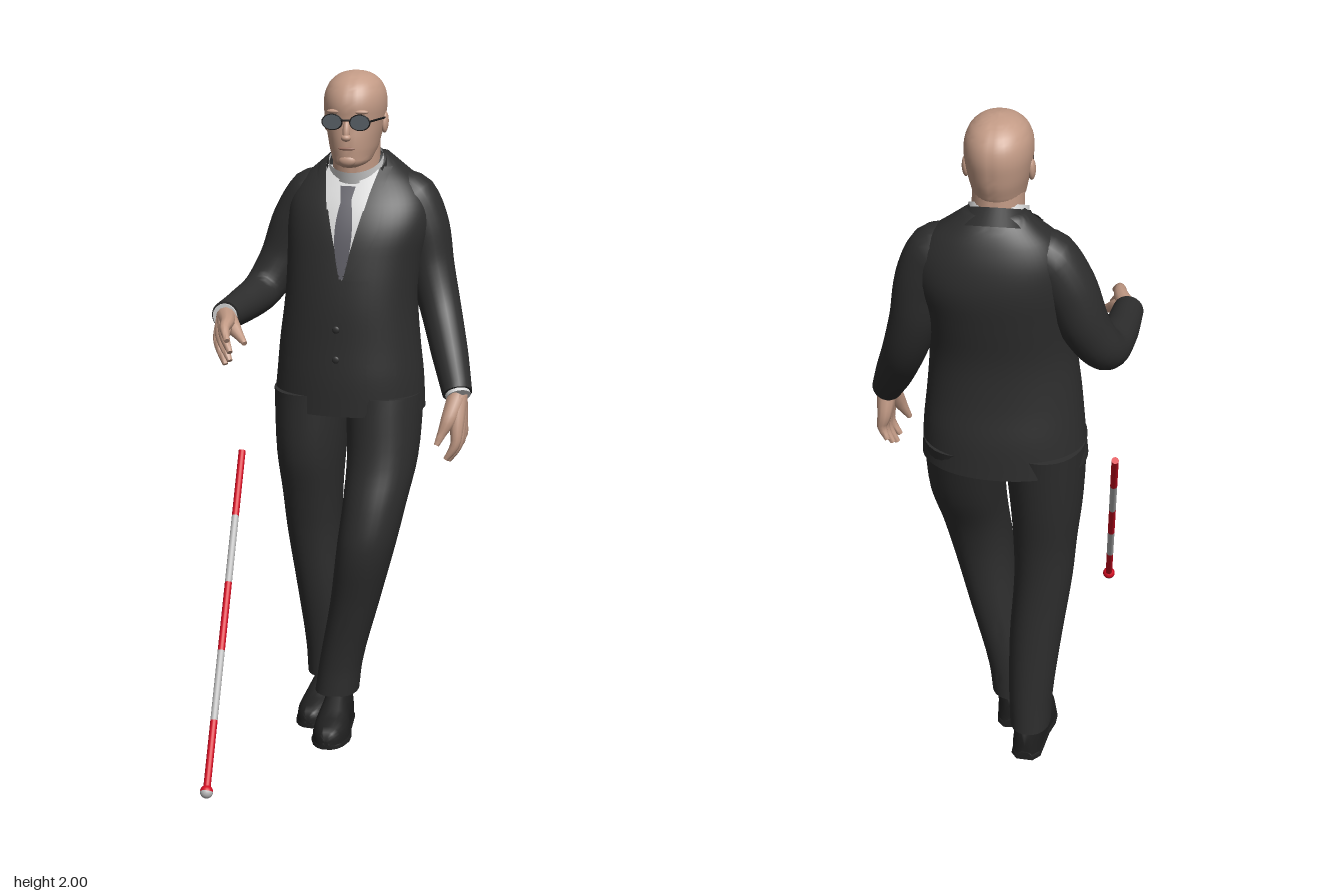
import * as THREE from 'three';
import { toCreasedNormals } from 'three/addons/utils/BufferGeometryUtils.js';

const mat = (name, color, side = THREE.FrontSide) => {
  const m = new THREE.MeshStandardMaterial({ color, side });
  m.name = name;
  return m;
};
const V = (x, y, z) => new THREE.Vector3(x, y, z);
const TAU = Math.PI * 2;

// Skin a list of closed rings, capping both ends.
function skin(rings) {
  const n = rings[0].length, pos = [], idx = [];
  const put = p => pos.push(p.x, p.y, p.z) / 3 - 1;
  rings.forEach(r => r.forEach(put));
  for (let i = 0; i < rings.length - 1; i++) for (let j = 0; j < n; j++) {
    const k = (j + 1) % n, a = i * n + j, b = i * n + k;
    idx.push(a, a + n, b, b, a + n, b + n);
  }
  [0, rings.length - 1].forEach((e, side) => {
    const c = put(rings[e].reduce((s, p) => s.add(p), V(0, 0, 0)).divideScalar(n));
    for (let j = 0; j < n; j++) {
      const a = e * n + j, b = e * n + (j + 1) % n;
      if (side) idx.push(c, b, a); else idx.push(c, a, b);
    }
  });
  const g = new THREE.BufferGeometry();
  g.setAttribute('position', new THREE.Float32BufferAttribute(pos, 3));
  g.setIndex(idx);
  return toCreasedNormals(g, 1);
}

// Smooth profile through rows of [y, centreX, halfWidth, frontZ, backZ].
function profile(rows) {
  const f = new THREE.CubicInterpolant(rows.map(r => r[0]), rows.flatMap(r => r.slice(1)), 4);
  return y => Array.from(f.evaluate(y));
}
const pw = (v, e) => Math.sign(v) * Math.abs(v) ** e;
function loft(rows, power = 2, n = 32, steps = 4) {
  const at = profile(rows), rings = [];
  for (let i = 0; i <= (rows.length - 1) * steps; i++) {
    const k = Math.min(Math.floor(i / steps), rows.length - 2);
    const y = THREE.MathUtils.lerp(rows[k][0], rows[k + 1][0], i / steps - k);
    const [cx, rx, zf, zb] = at(y);
    rings.push(Array.from({ length: n }, (_, j) => {
      const t = j / n * TAU;
      return V(cx + rx * pw(Math.cos(t), 2 / power), y, (zf + zb) / 2 + (zf - zb) / 2 * pw(Math.sin(t), 2 / power));
    }));
  }
  return skin(rings);
}

// Round limb through points of [x, y, z, radius].
function limb(pts, n = 18, steps = 6) {
  const curve = new THREE.CatmullRomCurve3(pts.map(p => V(p[0], p[1], p[2])));
  const m = (pts.length - 1) * steps, fr = curve.computeFrenetFrames(m), rings = [];
  for (let i = 0; i <= m; i++) {
    const t = curve.getUtoTmapping(i / m), s = t * (pts.length - 1), k = Math.min(Math.floor(s), pts.length - 2);
    const r = THREE.MathUtils.lerp(pts[k][3], pts[k + 1][3], s - k), c = curve.getPoint(t);
    rings.push(Array.from({ length: n }, (_, j) => c.clone()
      .addScaledVector(fr.normals[i], Math.cos(j / n * TAU) * r)
      .addScaledVector(fr.binormals[i], -Math.sin(j / n * TAU) * r)));
  }
  return skin(rings);
}

// Flat-bottomed shoe form from stations of [z, halfWidth, height], toe first.
const shoeForm = st => skin(st.map(([z, w, h]) => Array.from({ length: 24 }, (_, j) => {
  const t = j / 24 * TAU;
  return V(w * pw(Math.cos(t), 0.8), h * Math.max(0, Math.sin(t)) ** 0.8, z);
})));

export function createModel() {
  const root = new THREE.Group();
  const suit = mat('suit', 0x2d2d2d, THREE.DoubleSide), shoeM = mat('shoe leather', 0x202020);
  const skinM = mat('skin', 0xc39b86), lipM = mat('lips', 0x9a6f60);
  const shirt = mat('shirt', 0xd6d6d6, THREE.DoubleSide), tieM = mat('tie', 0x5c5b63, THREE.DoubleSide);
  const frame = mat('glasses frame', 0x181818), lens = mat('lens', 0x596067);
  const red = mat('cane red', 0xd40c22), grey = mat('cane grey', 0xb9b9b9);
  const add = (name, geo, m, parent = root) => {
    const o = new THREE.Mesh(geo, m);
    o.name = name;
    parent.add(o);
    return o;
  };
  const rod = (name, a, b, r, m, parent) => {
    const o = add(name, new THREE.CylinderGeometry(r, r, a.distanceTo(b), 16), m, parent);
    o.position.copy(a).lerp(b, 0.5);
    o.quaternion.setFromUnitVectors(V(0, 1, 0), b.clone().sub(a).normalize());
  };
  const blob = (name, x, y, z, rx, ry, rz, m) => {
    const o = add(name, new THREE.SphereGeometry(1, 20, 14), m);
    o.position.set(x, y, z);
    o.scale.set(rx, ry, rz);
    return o;
  };

  // Jacket body
  const torso = [
    [0.995, -0.025, 0.23, -0.155, -0.497], [1.1, -0.022, 0.222, -0.153, -0.493], [1.2, -0.022, 0.212, -0.157, -0.48],
    [1.33, -0.018, 0.2, -0.162, -0.477], [1.45, -0.01, 0.205, -0.177, -0.497], [1.55, 0, 0.218, -0.2, -0.512],
    [1.62, 0, 0.21, -0.233, -0.505], [1.68, -0.002, 0.172, -0.277, -0.487], [1.72, -0.005, 0.125, -0.312, -0.468],
    [1.755, -0.008, 0.083, -0.345, -0.443]];
  const round = 2.15;
  add('jacketBody', loft(torso, round, 56), suit);

  // Thin cloth panel lying on the jacket, between two edges x = left(t), right(t)
  const at = profile(torso);
  const panel = (name, y0, y1, left, right, off, m, face = 1) => {
    const g = new THREE.PlaneGeometry(1, 1, 8, 16), p = g.attributes.position;
    for (let i = 0; i < p.count; i++) {
      const t = p.getY(i) + 0.5, y = y0 + (y1 - y0) * t;
      const x = THREE.MathUtils.lerp(left(t), right(t), p.getX(i) + 0.5);
      const [cx, rx, zf, zb] = at(y), u = Math.min(1, Math.abs((x - cx) / rx));
      p.setXYZ(i, x, y, (zf + zb) / 2 + face * ((zf - zb) / 2 * (1 - u ** round) ** (1 / round) + off));
    }
    g.computeVertexNormals();
    add(name, g, m);
  };
  const mid = -0.015;
  panel('shirtFront', 1.405, 1.72, t => mid - 0.085 * t, t => mid + 0.085 * t, 0.004, shirt);
  panel('tie', 1.41, 1.635, t => mid - 0.006 - 0.02 * Math.sin(t * 2.7), t => mid + 0.006 + 0.02 * Math.sin(t * 2.7), 0.009, tieM);
  panel('tieKnot', 1.622, 1.67, t => mid - 0.014 - 0.009 * t, t => mid + 0.014 + 0.009 * t, 0.016, tieM);
  for (const s of [1, -1]) {
    panel('lapel', 1.4, 1.72, t => mid + s * 0.083 * t, t => mid + s * (0.083 * t + 0.064 * Math.sin(Math.min(1, t * 1.25) * 2.6)), 0.009, suit);
    panel('collarFlap', 1.605, 1.715, t => mid + s * (0.052 - 0.03 * t), t => mid + s * (0.056 + 0.024 * t), 0.012, shirt);
    panel('pocketFlap', 1.12, 1.16, () => -0.022 + s * 0.085, () => -0.022 + s * 0.165, 0.004, suit);
  }
  panel('frontOverlap', 0.998, 1.405, t => mid - 0.025 + 0.025 * t, () => mid + 0.08, 0.003, suit);
  panel('backVent', 0.998, 1.12, () => mid - 0.004, () => mid + 0.012, 0.003, suit, -1);
  for (const y of [1.26, 1.17]) blob('button', -0.028, y, at(y)[2] + 0.004, 0.011, 0.011, 0.005, suit);

  // Collars, dropping toward the front
  const shirtCollar = add('shirtCollar', new THREE.CylinderGeometry(0.08, 0.088, 0.075, 32, 1, true), shirt);
  shirtCollar.position.set(-0.01, 1.712, -0.35);
  const jacketCollar = add('jacketCollar', new THREE.CylinderGeometry(0.086, 0.115, 0.05, 32, 1, true, 1.15, TAU - 2.3), suit);
  jacketCollar.position.set(-0.008, 1.712, -0.35);
  for (const c of [shirtCollar, jacketCollar]) {
    c.rotation.x = 0.45;
    c.scale.z = 1.08;
  }

  // Trouser legs, the left one stepping forward
  add('leftTrouserLeg', loft([
    [0.11, -0.037, 0.066, -0.135, -0.297], [0.2, -0.025, 0.065, -0.135, -0.295], [0.4, 0.02, 0.073, -0.11, -0.295],
    [0.6, 0.06, 0.087, -0.075, -0.302], [0.72, 0.078, 0.094, -0.095, -0.335], [0.85, 0.09, 0.105, -0.135, -0.4],
    [1.05, 0.085, 0.116, -0.165, -0.475]], 2.2), suit);
  add('rightTrouserLeg', loft([
    [0.11, -0.105, 0.059, -0.288, -0.457], [0.2, -0.105, 0.063, -0.28, -0.452], [0.4, -0.116, 0.075, -0.25, -0.44],
    [0.6, -0.135, 0.083, -0.225, -0.432], [0.72, -0.138, 0.09, -0.2, -0.438], [0.85, -0.14, 0.102, -0.17, -0.458],
    [1.05, -0.135, 0.116, -0.165, -0.487]], 2.2), suit);

  // Shoes
  const st = [[0, 0.012, 0.03], [-0.01, 0.028, 0.042], [-0.03, 0.042, 0.052], [-0.07, 0.054, 0.063], [-0.11, 0.055, 0.078],
    [-0.16, 0.046, 0.11], [-0.22, 0.043, 0.13], [-0.27, 0.04, 0.125], [-0.295, 0.022, 0.1]];
  for (const [name, x, z, turn] of [['leftShoe', -0.018, 0.012, 0.06], ['rightShoe', -0.112, -0.135, -0.06]]) {
    const g = new THREE.Group();
    g.name = name;
    g.position.set(x, 0, z);
    g.rotation.y = turn;
    root.add(g);
    add('shoeUpper', shoeForm(st), shoeM, g).position.y = 0.01;
    add('sole', shoeForm(st.map(([a, w]) => [a * 1.01, w * 1.08, 0.026])), shoeM, g);
  }

  // Sleeves and shirt cuffs
  add('rightSleeve', limb([[-0.08, 1.655, -0.385, 0.055], [-0.145, 1.622, -0.385, 0.08], [-0.2, 1.54, -0.385, 0.077],
    [-0.248, 1.42, -0.375, 0.068], [-0.295, 1.335, -0.33, 0.06], [-0.32, 1.312, -0.2, 0.052], [-0.333, 1.31, -0.05, 0.043]], 24), suit);
  add('leftSleeve', limb([[0.08, 1.655, -0.385, 0.055], [0.145, 1.622, -0.38, 0.08], [0.186, 1.54, -0.378, 0.077],
    [0.213, 1.42, -0.37, 0.069], [0.25, 1.3, -0.335, 0.061], [0.295, 1.18, -0.255, 0.054], [0.333, 1.085, -0.175, 0.044]], 24), suit);
  rod('rightCuff', V(-0.332, 1.31, -0.08), V(-0.334, 1.31, -0.043), 0.037, shirt);
  rod('leftCuff', V(0.322, 1.111, -0.197), V(0.337, 1.078, -0.169), 0.037, shirt);

  // Hands: each finger runs from the wrist over its knuckle to the tip
  const hand = (name, wrist, fingers) => {
    const g = new THREE.Group();
    g.name = name;
    root.add(g);
    fingers.forEach(([k, tip, bend], i) => {
      const m = k.map((v, a) => (v + tip[a]) / 2 + bend[a]), thumb = i === 4;
      add(thumb ? 'thumb' : 'finger', limb([[...wrist, 0.03], [...k, thumb ? 0.023 : 0.02], [...m, 0.0145], [...tip, 0.008]], 10, 4), skinM, g);
    });
  };
  const up = [-0.006, 0.01, 0.004], out = [0.012, 0, 0.004];
  hand('rightHand', [-0.33, 1.308, -0.045], [
    [[-0.302, 1.312, 0.045], [-0.278, 1.28, 0.13], up], [[-0.308, 1.294, 0.048], [-0.272, 1.245, 0.122], up],
    [[-0.318, 1.277, 0.042], [-0.278, 1.215, 0.102], up], [[-0.328, 1.262, 0.03], [-0.298, 1.198, 0.078], up],
    [[-0.295, 1.29, 0.005], [-0.248, 1.255, 0.05], [0, 0, 0]]]);
  hand('leftHand', [0.335, 1.08, -0.168], [
    [[0.34, 0.99, -0.132], [0.312, 0.898, -0.12], out], [[0.344, 0.985, -0.153], [0.315, 0.888, -0.148], out],
    [[0.345, 0.988, -0.174], [0.322, 0.902, -0.176], out], [[0.342, 0.998, -0.193], [0.333, 0.925, -0.202], out],
    [[0.316, 1.015, -0.125], [0.287, 0.945, -0.098], [0, 0, 0]]]);

  // Neck and head
  const hx = -0.01;
  add('neck', loft([[1.62, hx, 0.078, -0.275, -0.435], [1.7, hx, 0.071, -0.268, -0.425], [1.8, hx, 0.069, -0.26, -0.422]]), skinM);
  add('head', loft([
    [1.728, hx, 0.022, -0.228, -0.28], [1.736, hx, 0.044, -0.217, -0.325], [1.765, hx, 0.064, -0.21, -0.4],
    [1.81, hx, 0.076, -0.208, -0.43], [1.86, hx, 0.086, -0.212, -0.443], [1.91, hx, 0.091, -0.209, -0.447],
    [1.95, hx, 0.083, -0.224, -0.434], [1.978, hx, 0.063, -0.252, -0.406], [1.994, hx, 0.034, -0.288, -0.37],
    [2, hx, 0.004, -0.325, -0.333]], 2.1, 40), skinM);
  blob('nose', hx, 1.838, -0.209, 0.011, 0.032, 0.014, skinM).rotation.x = -0.25;
  blob('noseTip', hx, 1.819, -0.203, 0.015, 0.011, 0.014, skinM);
  blob('mouth', hx, 1.786, -0.211, 0.025, 0.005, 0.006, lipM);
  blob('chin', hx, 1.75, -0.221, 0.026, 0.018, 0.014, skinM);
  for (const s of [1, -1]) {
    blob('ear', hx + s * 0.086, 1.85, -0.335, 0.011, 0.032, 0.019, skinM).rotation.x = -0.2;
    blob('brow', hx + s * 0.034, 1.892, -0.223, 0.028, 0.007, 0.011, skinM);

    // Glasses
    const c = V(hx + s * 0.041, 1.864, -0.203);
    const glass = add('lens', new THREE.CylinderGeometry(0.029, 0.029, 0.004, 24), lens);
    glass.rotation.x = Math.PI / 2;
    const rim = add('rim', new THREE.TorusGeometry(0.029, 0.0025, 8, 28), frame);
    for (const o of [glass, rim]) o.position.copy(c);
    glass.scale.z = rim.scale.y = 0.76;
    rod('temple', V(hx + s * 0.07, 1.868, -0.204), V(hx + s * 0.09, 1.864, -0.335), 0.003, frame);
  }
  rod('bridge', V(hx - 0.014, 1.87, -0.2), V(hx + 0.014, 1.87, -0.2), 0.003, frame);

  // Banded cane with a two-tone ball tip
  const top = V(-0.315, 0.874, -0.146), tip = V(-0.248, 0.055, 0.497);
  for (let i = 0; i < 5; i++) {
    rod('caneBand', top.clone().lerp(tip, i / 5), top.clone().lerp(tip, (i + 1) / 5), 0.0105, i % 2 ? grey : red);
  }
  const ball = new THREE.Group();
  ball.name = 'caneTip';
  ball.position.copy(tip);
  ball.quaternion.setFromUnitVectors(V(0, 1, 0), top.clone().sub(tip).normalize());
  root.add(ball);
  add('tipUpper', new THREE.SphereGeometry(0.019, 20, 8, 0, TAU, 0, Math.PI / 2), red, ball);
  add('tipLower', new THREE.SphereGeometry(0.019, 20, 8, 0, TAU, Math.PI / 2, Math.PI / 2), grey, ball);
  return root;
}
